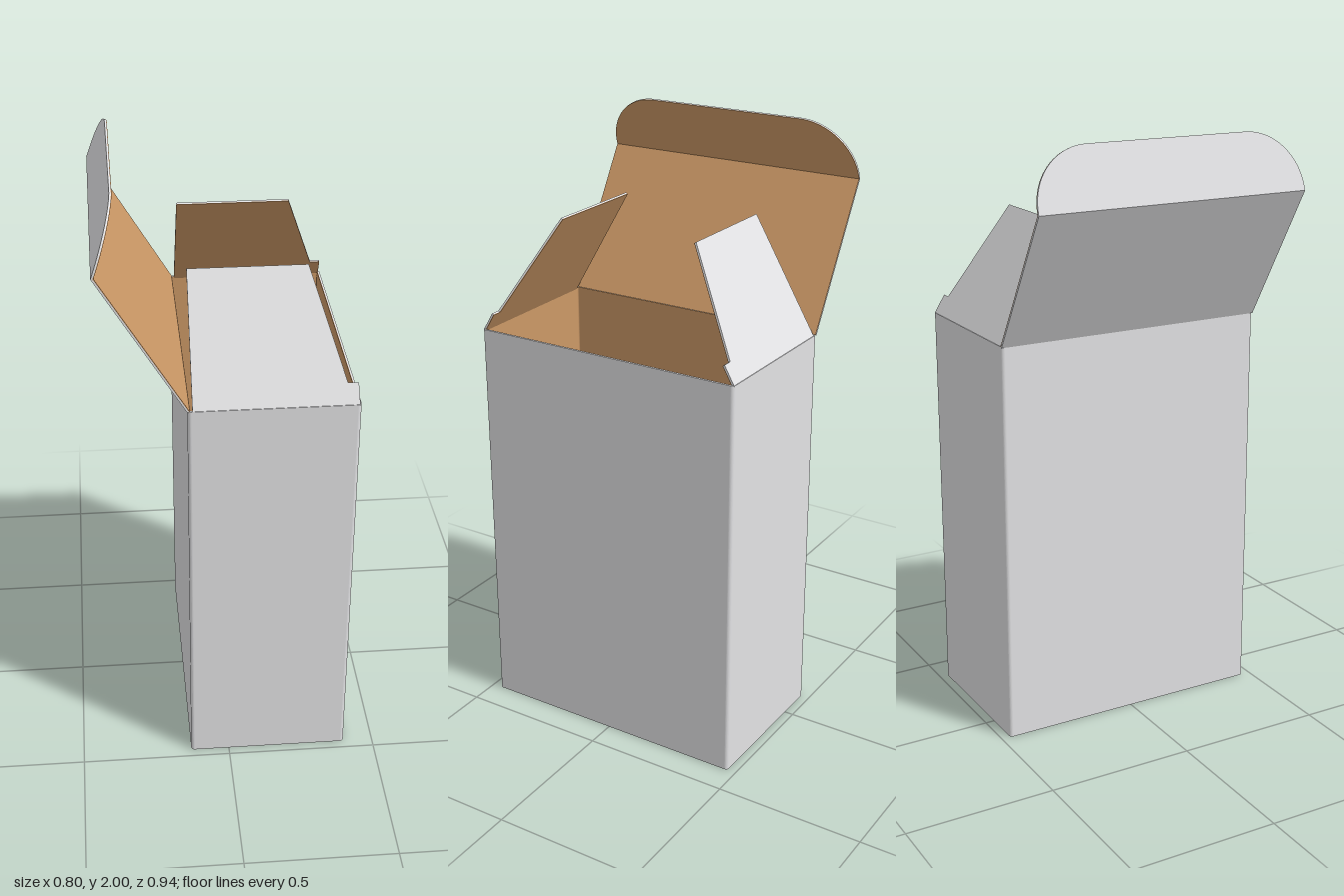
import * as THREE from 'three';

const white = new THREE.MeshStandardMaterial({ name: 'white card', color: 0xe2e2e4 });
const kraft = new THREE.MeshStandardMaterial({ name: 'kraft lining', color: 0xcb9866 });

const WIDTH = 0.53, DEPTH = 0.94, HEIGHT = 1.36, MID_X = 0.135;
const SKIN = 0.006, LINING = 0.002;
const LEFT = MID_X - WIDTH / 2;

function roundedRect(w, d, r, Type = THREE.Shape) {
  const s = new Type(), x = w / 2, y = d / 2;
  s.moveTo(-x + r, -y);
  s.lineTo(x - r, -y);
  s.absarc(x - r, -y + r, r, -Math.PI / 2, 0);
  s.lineTo(x, y - r);
  s.absarc(x - r, y - r, r, 0, Math.PI / 2);
  s.lineTo(-x + r, y);
  s.absarc(-x + r, y - r, r, Math.PI / 2, Math.PI);
  s.lineTo(-x, -y + r);
  s.absarc(-x + r, -y + r, r, Math.PI, Math.PI * 1.5);
  return s;
}

function slab(name, shape, depth, material) {
  const geometry = new THREE.ExtrudeGeometry(shape, { depth, bevelEnabled: false, curveSegments: 10 });
  const mesh = new THREE.Mesh(geometry, material);
  mesh.name = name;
  return mesh;
}

// Upright tube of card, inset from the outer size of the carton
function sleeve(name, inset, thickness, material) {
  const shape = roundedRect(WIDTH - 2 * inset, DEPTH - 2 * inset, 0.012 - inset);
  const inner = inset + thickness;
  shape.holes.push(roundedRect(WIDTH - 2 * inner, DEPTH - 2 * inner, 0.012 - inner, THREE.Path));
  const mesh = slab(name, shape, HEIGHT, material);
  mesh.rotation.x = -Math.PI / 2;
  mesh.position.x = MID_X;
  return mesh;
}

// Two-layer panel rising from an origin along "up", lined on the "inside" face
function panel(name, shape, origin, up, inside) {
  const group = new THREE.Group();
  group.name = name;
  const outer = slab(name + 'Outside', shape, SKIN, white);
  const inner = slab(name + 'Lining', shape, LINING, kraft);
  inner.position.z = SKIN;
  group.add(outer, inner);
  const v = up.clone().normalize(), n = inside.clone().normalize();
  const u = new THREE.Vector3().crossVectors(v, n);
  group.quaternion.setFromRotationMatrix(new THREE.Matrix4().makeBasis(u, v, n));
  group.position.copy(origin);
  return group;
}

export function createModel() {
  const model = new THREE.Group();
  model.name = 'openCarton';

  // Four walls, white outside and kraft inside
  model.add(sleeve('walls', 0, SKIN, white));
  model.add(sleeve('wallLining', SKIN, LINING, kraft));

  // Bottom
  const bottom = slab('bottom', roundedRect(WIDTH, DEPTH, 0.012), SKIN, white);
  const floor = slab('bottomLining', roundedRect(WIDTH - 0.014, DEPTH - 0.014, 0.004), LINING, kraft);
  floor.position.y = SKIN;
  for (const part of [bottom, floor]) {
    part.rotation.x = -Math.PI / 2;
    part.position.x = MID_X;
    model.add(part);
  }

  // Lid hinged on the narrow edge, leaning outwards
  const hinge = new THREE.Vector3(LEFT, HEIGHT - 0.003, 0);
  const fold = new THREE.Vector3(-0.402, 1.812, 0);
  const tip = new THREE.Vector3(-0.338, 2, 0);
  const half = DEPTH / 2;
  const lidUp = fold.clone().sub(hinge), lidLength = lidUp.length();
  const lidShape = new THREE.Shape([
    new THREE.Vector2(-half, 0), new THREE.Vector2(half, 0),
    new THREE.Vector2(half, lidLength), new THREE.Vector2(-half, lidLength),
  ]);
  model.add(panel('lid', lidShape, hinge, lidUp, new THREE.Vector3(lidUp.y, -lidUp.x, 0)));

  // Tuck flap with rounded corners, folded back over the lid
  const tuckUp = tip.clone().sub(fold), t = tuckUp.length(), r = 0.19;
  const tuckShape = new THREE.Shape();
  tuckShape.moveTo(-half, 0);
  tuckShape.lineTo(half, 0);
  tuckShape.lineTo(half, t - r);
  tuckShape.absarc(half - r, t - r, r, 0, Math.PI / 2);
  tuckShape.lineTo(-half + r, t);
  tuckShape.absarc(-half + r, t - r, r, Math.PI / 2, Math.PI);
  model.add(panel('tuckFlap', tuckShape, fold, tuckUp, new THREE.Vector3(tuckUp.y, -tuckUp.x, 0)));

  // Notched dust flaps at front and back, leaning inwards
  const outline = [[-0.115, 0], [0.395, 0], [0.393, 0.07], [0.36, 0.07], [0.255, 0.432], [-0.115, 0.432]];
  for (const side of [1, -1]) {
    const shape = new THREE.Shape(outline.map(([x, y]) => new THREE.Vector2(-side * x, y)));
    model.add(panel(
      side > 0 ? 'frontDustFlap' : 'backDustFlap', shape,
      new THREE.Vector3(0, HEIGHT - 0.002, side * (half - 0.001)),
      new THREE.Vector3(0, 0.372, -side * 0.22),
      new THREE.Vector3(0, -0.22, -side * 0.372),
    ));
  }
  return model;
}
